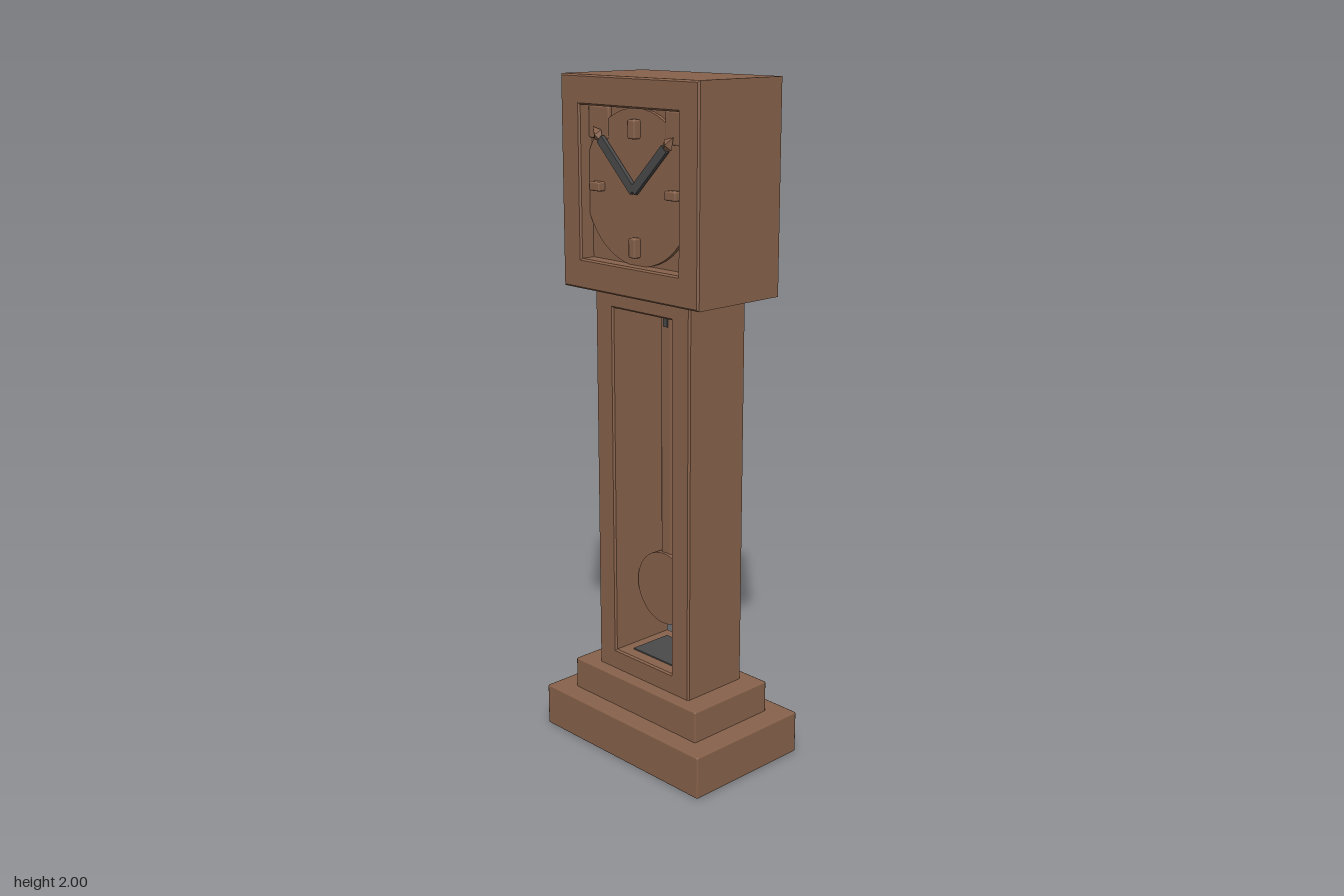
import * as THREE from 'three';
import { RoundedBoxGeometry } from 'three/addons/geometries/RoundedBoxGeometry.js';

const wood = new THREE.MeshStandardMaterial({ color: 0x88624b });
wood.name = 'brown wood';
const iron = new THREE.MeshStandardMaterial({ color: 0x4a4a4a });
iron.name = 'dark iron';

export function createModel() {
  const clock = new THREE.Group();
  clock.name = 'longcaseClock';

  const add = (name, geometry, material, x, y, z, parent = clock) => {
    const mesh = new THREE.Mesh(geometry, material);
    mesh.name = name;
    mesh.position.set(x, y, z);
    parent.add(mesh);
    return mesh;
  };
  const slab = (w, h, d) => new RoundedBoxGeometry(w, h, d, 1, 0.005);

  // Rectangular frame with a window cut through along z
  const frame = (halfWidth, bottom, top, depth, hx, hBottom, hTop) => {
    const rect = (T, a, b, c) => new T([
      new THREE.Vector2(-a, b), new THREE.Vector2(a, b),
      new THREE.Vector2(a, c), new THREE.Vector2(-a, c)]);
    const shape = rect(THREE.Shape, halfWidth, bottom, top);
    shape.holes.push(rect(THREE.Path, hx, hBottom, hTop));
    const bevel = 0.005;
    const g = new THREE.ExtrudeGeometry(shape, {
      depth: depth - 2 * bevel, bevelEnabled: true, bevelThickness: bevel,
      bevelSize: bevel, bevelOffset: -bevel, bevelSegments: 1 });
    return g.translate(0, 0, bevel - depth / 2);
  };

  // Plinth
  add('plinth', slab(0.665, 0.13, 0.42), wood, 0, 0.065, 0);
  add('plinthStep', slab(0.525, 0.1, 0.3), wood, 0, 0.176, 0);

  // Trunk, open front to back
  add('trunk', frame(0.194, 0.22, 1.41, 0.222, 0.12, 0.287, 1.348), wood, 0, 0, 0);
  add('trunkFloorPlate', new THREE.BoxGeometry(0.17, 0.004, 0.14), iron, 0, 0.289, 0);

  // Pendulum
  const pendulum = new THREE.Group();
  pendulum.name = 'pendulum';
  clock.add(pendulum);
  add('pendulumRod', slab(0.042, 0.75, 0.03), wood, 0, 0.975, 0, pendulum);
  add('pendulumHook', new THREE.BoxGeometry(0.018, 0.05, 0.036), iron, 0, 1.322, 0, pendulum);
  const bob = add('pendulumBob', new THREE.CylinderGeometry(0.112, 0.112, 0.05, 40), wood, 0, 0.498, 0, pendulum);
  bob.rotation.x = Math.PI / 2;

  // Hood with recessed front and back panels
  add('hood', frame(0.275, 1.4, 2, 0.32, 0.197, 1.487, 1.917), wood, 0, 0, 0);
  add('hoodPanel', new THREE.BoxGeometry(0.41, 0.44, 0.225), wood, 0, 1.702, 0);

  // Dial
  const dial = new THREE.Group();
  dial.name = 'dial';
  dial.position.set(0, 1.7, 0.112);
  clock.add(dial);
  const disc = add('dialDisc', new THREE.CylinderGeometry(0.216, 0.216, 0.012, 48), wood, 0, 0, 0.006, dial);
  disc.rotation.x = Math.PI / 2;
  for (const [x, y, w, h] of [
    [0, 0.16, 0.03, 0.052], [0, -0.163, 0.026, 0.056],
    [0.152, -0.006, 0.044, 0.026], [-0.154, -0.006, 0.044, 0.026]]) {
    add('hourMarker', slab(w, h, 0.03), wood, x, y, 0.02, dial);
  }

  // Hands with carved tips, and corner ornaments
  for (const [side, reach] of [[-1, 0.19], [1, 0.175]]) {
    const arm = new THREE.Group();
    arm.name = side < 0 ? 'minuteHand' : 'hourHand';
    arm.position.set(0, -0.007, 0.024);
    arm.rotation.z = -side * 0.79;
    dial.add(arm);
    add('handBar', new THREE.BoxGeometry(0.026, reach, 0.012), iron, 0, reach / 2, 0, arm);
    const tip = add('handTip', new THREE.OctahedronGeometry(0.025), wood, 0, reach + 0.015, 0, arm);
    tip.scale.set(0.8, 1.2, 0.5);
    add('cornerOrnament', slab(0.085, 0.09, 0.016), wood, side * 0.155, 0.17, 0.006, dial);
  }
  return clock;
}
